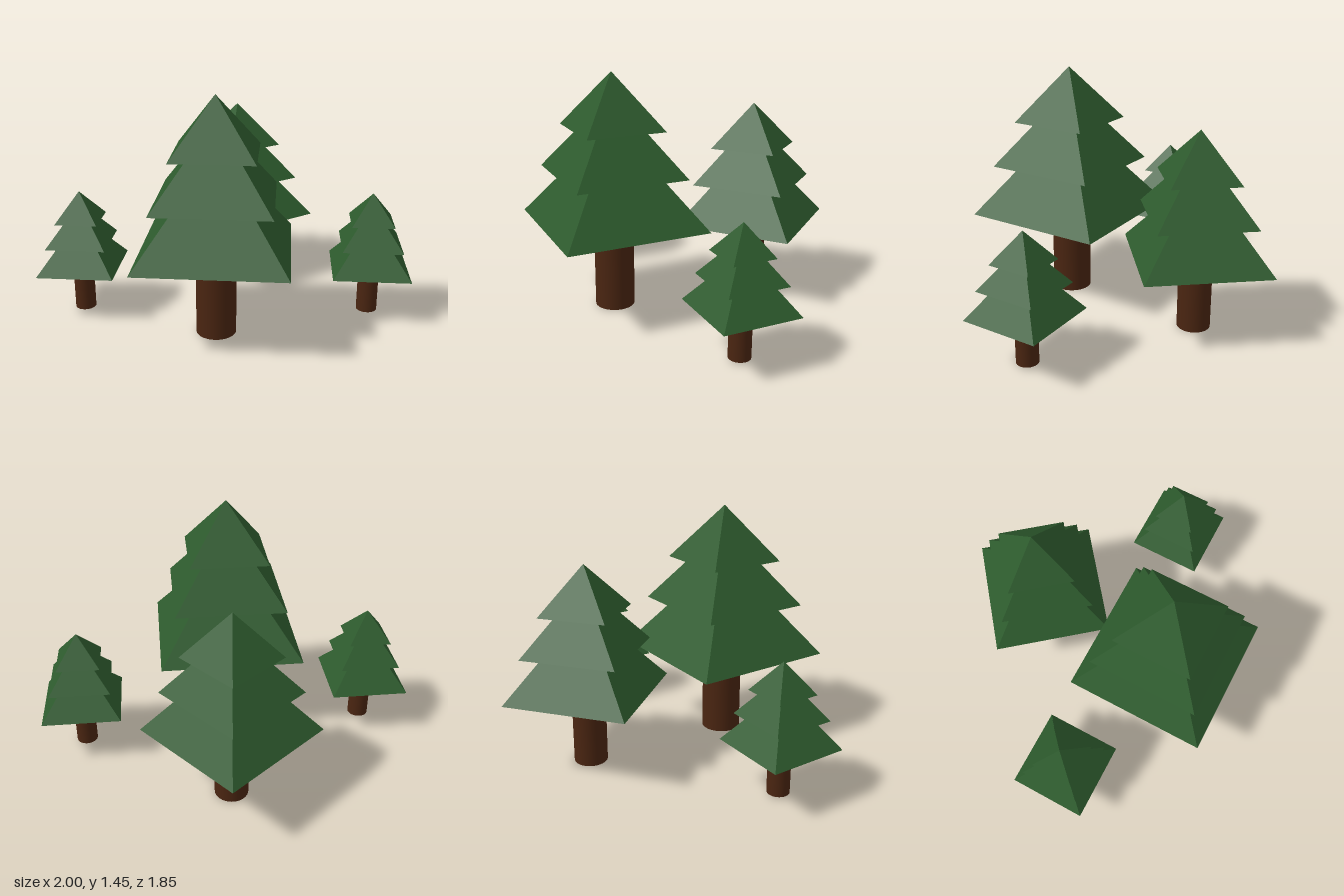
import * as THREE from 'three';

const foliage = new THREE.MeshStandardMaterial({ color: 0x2d5a2d });
foliage.name = 'foliage green';
const bark = new THREE.MeshStandardMaterial({ color: 0x4a2511 });
bark.name = 'bark brown';

// Four-sided cone with crisp facets, standing on y = 0
function pyramid(radius, height) {
  const geo = new THREE.ConeGeometry(radius, height, 4).toNonIndexed();
  geo.computeVertexNormals();
  return geo.translate(0, height / 2, 0);
}

// tiers: [base height, corner radius, tip height], lowest first
function makeTree({ name, x, z, turn, trunkRadius, trunkBase, tiers }) {
  const tree = new THREE.Group();
  tree.name = name;
  tree.position.set(x, 0, z);
  tree.rotation.y = turn;

  // Round trunk with green end caps
  const trunkHeight = tiers[0][0] - trunkBase + 0.02;
  const trunk = new THREE.Mesh(
    new THREE.CylinderGeometry(trunkRadius, trunkRadius, trunkHeight, 32),
    [bark, foliage, foliage]
  );
  trunk.name = 'trunk';
  trunk.position.y = trunkBase + trunkHeight / 2;
  tree.add(trunk);

  // Stacked, overlapping branch tiers
  tiers.forEach(([base, radius, tip], i) => {
    const tier = new THREE.Mesh(pyramid(radius, tip - base), foliage);
    tier.name = `branchTier${i + 1}`;
    tier.position.y = base;
    tree.add(tier);
  });
  return tree;
}

export function createModel() {
  const grove = new THREE.Group();
  grove.name = 'pineGrove';

  grove.add(makeTree({
    name: 'largeTree', x: -0.235, z: 0.19, turn: 0, trunkRadius: 0.12, trunkBase: 0.005,
    tiers: [[0.54, 0.615, 1.14], [0.845, 0.48, 1.315], [1.115, 0.34, 1.445]],
  }));

  grove.add(makeTree({
    name: 'mediumTree', x: 0.46, z: -0.418, turn: 0.685, trunkRadius: 0.099, trunkBase: 0,
    tiers: [[0.45, 0.513, 0.95], [0.703, 0.4, 1.095], [0.928, 0.283, 1.2]],
  }));

  // Two matching saplings on opposite corners
  for (const [name, side] of [['frontLeftSapling', 1], ['backRightSapling', -1]]) {
    grove.add(makeTree({
      name, x: 0.669 * side, z: 0.596 * side, turn: 0, trunkRadius: 0.064, trunkBase: 0.012,
      tiers: [[0.3, 0.33, 0.62], [0.462, 0.257, 0.71], [0.605, 0.182, 0.782]],
    }));
  }
  return grove;
}
